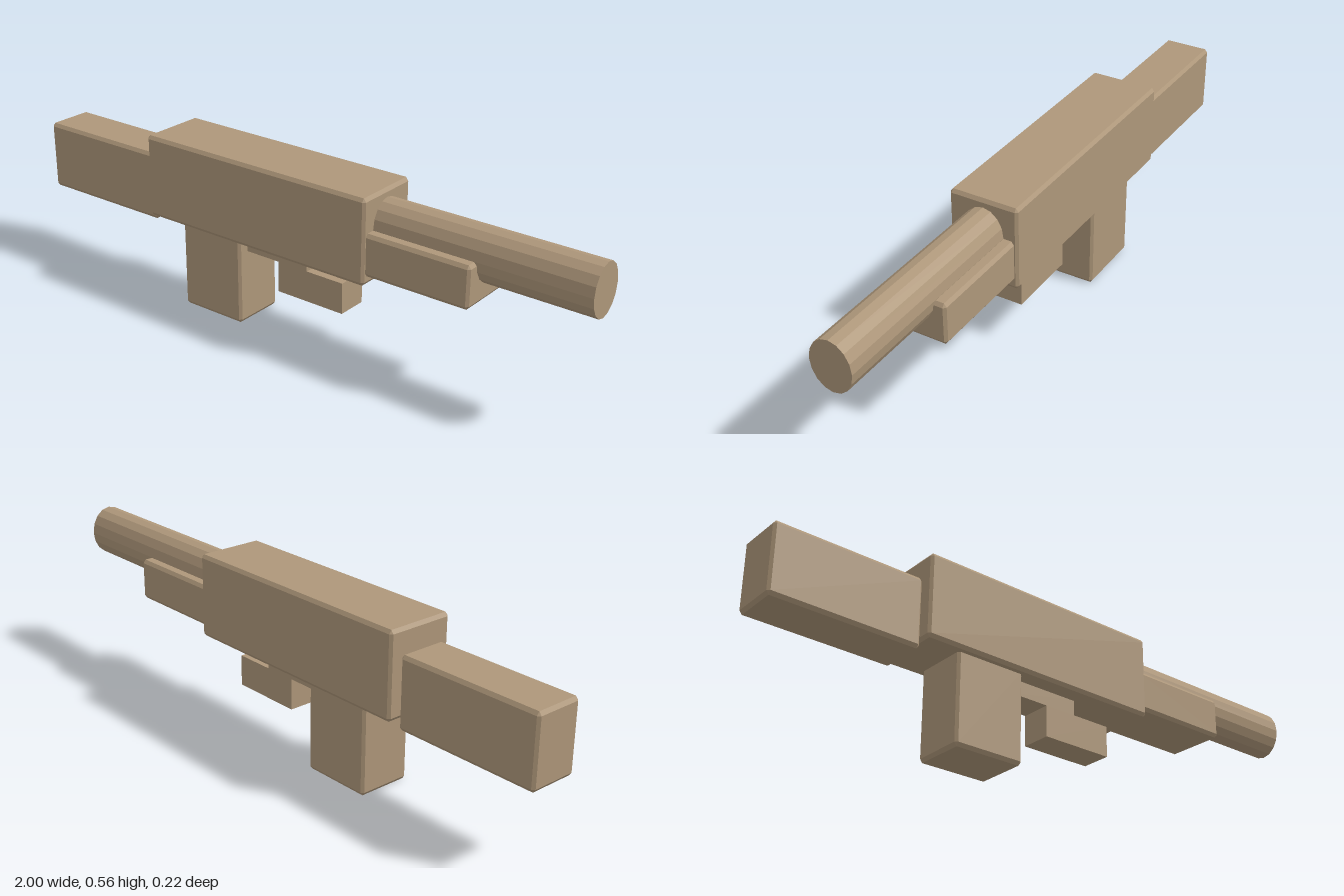
import * as THREE from 'three';
import { ConvexGeometry } from 'three/addons/geometries/ConvexGeometry.js';

const tan = new THREE.MeshStandardMaterial({ color: 0xae977a });
tan.name = 'tan';

// Box between two x and two y values, centred on z, with every edge chamfered
function chamferBox(x0, x1, y0, y1, halfZ, bx = 0.008, by = 0.011, bz = 0.008) {
  const hx = (x1 - x0) / 2, hy = (y1 - y0) / 2;
  const points = [];
  for (const sx of [-1, 1]) for (const sy of [-1, 1]) for (const sz of [-1, 1]) {
    points.push(
      new THREE.Vector3(sx * hx, sy * (hy - by), sz * (halfZ - bz)),
      new THREE.Vector3(sx * (hx - bx), sy * hy, sz * (halfZ - bz)),
      new THREE.Vector3(sx * (hx - bx), sy * (hy - by), sz * halfZ)
    );
  }
  return new ConvexGeometry(points).translate((x0 + x1) / 2, (y0 + y1) / 2, 0);
}

// Sharp-edged box between two x and two y values, centred on z
function plainBox(x0, x1, y0, y1, halfZ) {
  return new THREE.BoxGeometry(x1 - x0, y1 - y0, halfZ * 2)
    .translate((x0 + x1) / 2, (y0 + y1) / 2, 0);
}

// Faceted oval rod running along x
function ovalRod(x0, x1, y, radiusY, radiusZ) {
  const rod = new THREE.CylinderGeometry(1, 1, x1 - x0, 16)
    .rotateZ(-Math.PI / 2)
    .scale(1, radiusY, radiusZ)
    .translate((x0 + x1) / 2, y, 0)
    .toNonIndexed();
  rod.computeVertexNormals();
  return rod;
}

export function createModel() {
  const model = new THREE.Group();
  model.name = 'blockBlaster';
  const add = (name, geometry) => {
    const mesh = new THREE.Mesh(geometry, tan);
    mesh.name = name;
    model.add(mesh);
  };

  // Main blocks
  add('stock', chamferBox(-1, -0.524, 0.257, 0.481, 0.078));
  add('body', chamferBox(-0.52, 0.316, 0.286, 0.555, 0.111));
  add('grip', chamferBox(-0.4, -0.166, 0, 0.3, 0.088));
  add('foregrip', chamferBox(0.3, 0.655, 0.314, 0.447, 0.1));

  // Barrel
  add('barrel', ovalRod(0.3, 1, 0.448, 0.081, 0.066));

  // Stepped trigger block under the body
  add('triggerMount', plainBox(-0.18, 0.066, 0.238, 0.29, 0.05));
  add('triggerBlock', plainBox(-0.043, 0.199, 0.138, 0.238, 0.05));

  return model;
}
